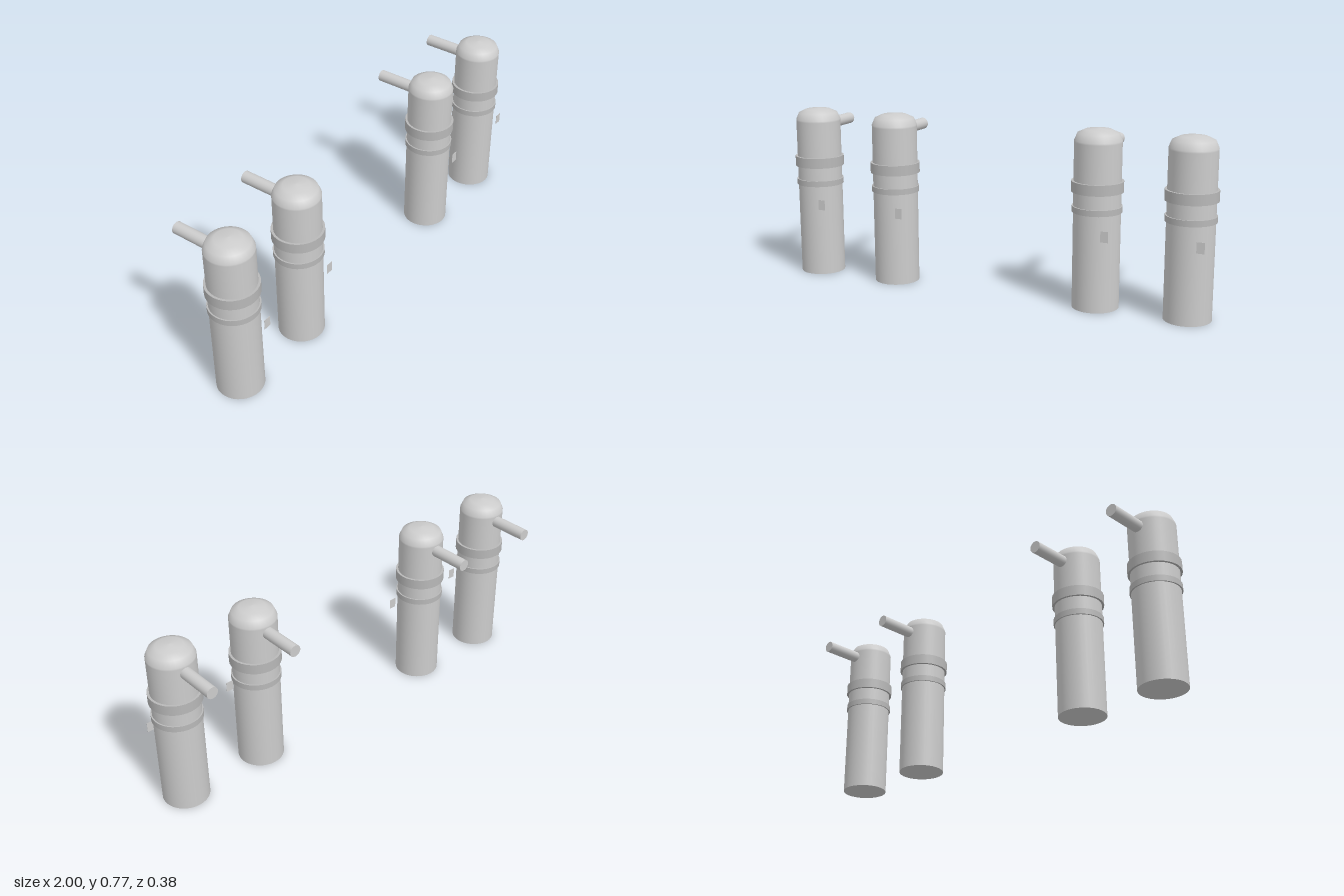
import * as THREE from 'three';

function makeMaterial(name, color) {
  const material = new THREE.MeshStandardMaterial({ color });
  material.name = name;
  return material;
}

const lightGray = makeMaterial('lightGray', 0xcccccc);
const bandGray = makeMaterial('bandGray', 0xb8b8b8);

const SEGMENTS = 32;
const RADIUS = 0.101;

function addPart(parent, name, geometry, material, x, y, z) {
  const mesh = new THREE.Mesh(geometry, material);
  mesh.name = name;
  mesh.position.set(x, y, z);
  parent.add(mesh);
  return mesh;
}

function createTank() {
  const tank = new THREE.Group();
  tank.name = 'tank';

  // body running smoothly into a shallow dome
  const profile = [
    [RADIUS, 0], [RADIUS, 0.715], [RADIUS, 0.723], [0.088, 0.753],
    [0.056, 0.768], [0.004, 0.774], [0, 0.774],
  ].map(([r, y]) => new THREE.Vector2(r, y));
  addPart(tank, 'body', new THREE.LatheGeometry(profile, SEGMENTS), lightGray, 0, 0, 0);

  // flat underside
  const base = addPart(tank, 'base', new THREE.CircleGeometry(RADIUS, SEGMENTS), lightGray, 0, 0, 0);
  base.rotation.x = Math.PI / 2;

  // raised bands
  addPart(tank, 'wideBand', new THREE.CylinderGeometry(0.111, 0.111, 0.046, SEGMENTS), bandGray, 0, 0.529, 0);
  addPart(tank, 'narrowBand', new THREE.CylinderGeometry(0.107, 0.107, 0.026, SEGMENTS), bandGray, 0, 0.432, 0);

  // outlet pipe running to the back
  const pipe = addPart(tank, 'outletPipe', new THREE.CylinderGeometry(0.026, 0.026, 0.2, 24), lightGray, 0, 0.688, -0.17);
  pipe.rotation.x = Math.PI / 2;

  // small thin plate in front of the body
  addPart(tank, 'labelPlate', new THREE.BoxGeometry(0.034, 0.047, 0.001), lightGray, 0.07, 0.338, 0.104);
  return tank;
}

export function createModel() {
  const model = new THREE.Group();
  model.name = 'tankRow';
  for (const x of [-0.889, -0.485, 0.485, 0.889]) {
    const tank = createTank();
    tank.position.set(x, 0, 0.08);
    model.add(tank);
  }
  return model;
}
